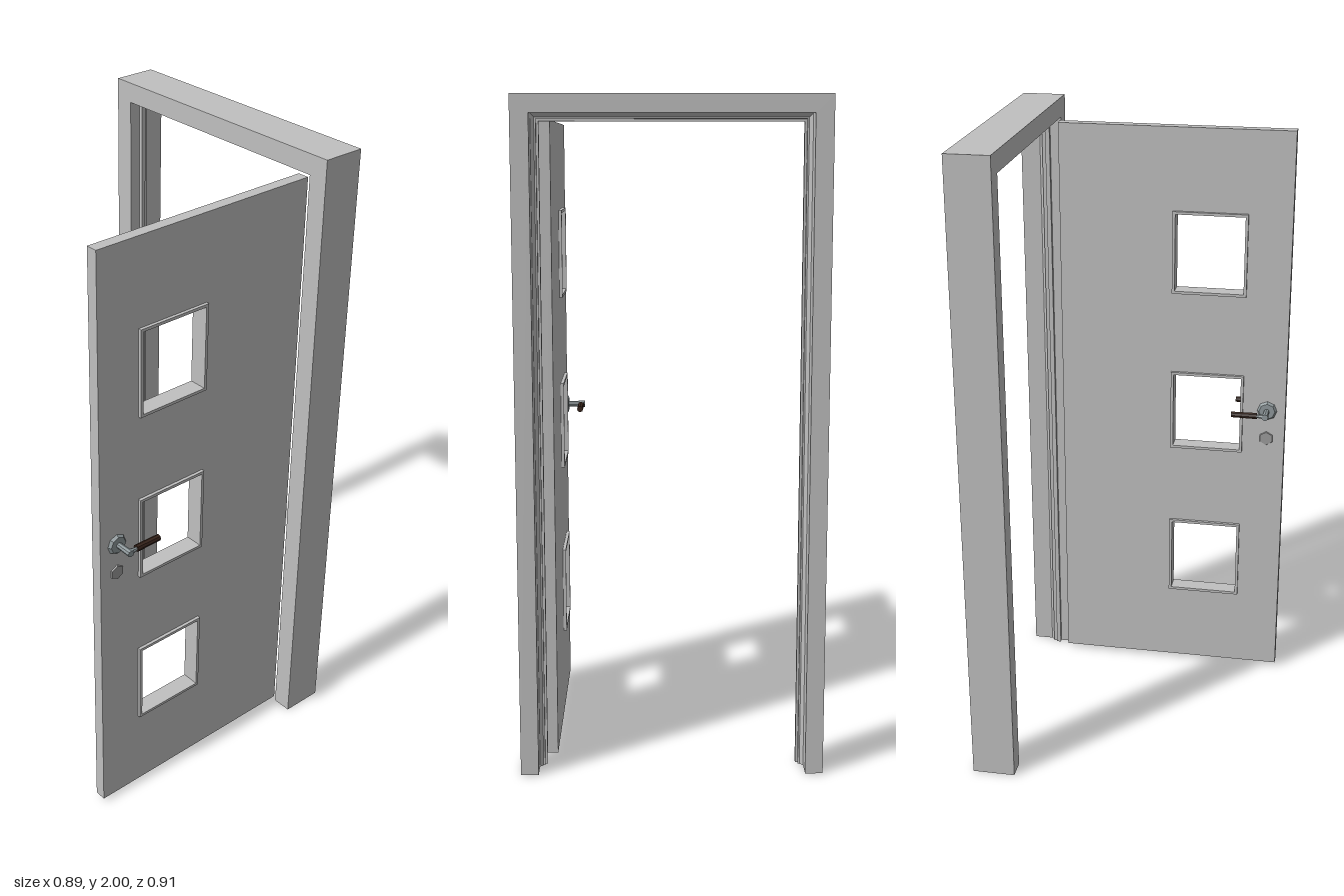
import * as THREE from 'three';

export function createModel() {
  const model = new THREE.Group();
  const mat = (name, color) => Object.assign(new THREE.MeshStandardMaterial({ color, flatShading: true }), { name });
  const paint = mat('paintedGrey', 0xc0c0c0);
  const metal = mat('handleMetal', 0x8f999c);
  const plate = mat('keyPlateGrey', 0x9c9c9c);
  const wood = mat('darkWood', 0x36231a);

  const add = (parent, name, geometry, material, x = 0, y = 0, z = 0) => {
    const mesh = new THREE.Mesh(geometry, material);
    mesh.name = name;
    mesh.position.set(x, y, z);
    parent.add(mesh);
    return mesh;
  };
  const rect = (Type, x0, y0, x1, y1) => {
    const p = new Type();
    p.moveTo(x0, y0);
    p.lineTo(x1, y0);
    p.lineTo(x1, y1);
    p.lineTo(x0, y1);
    p.closePath();
    return p;
  };
  const extrude = (shape, depth) => new THREE.ExtrudeGeometry(shape, { depth, bevelEnabled: false });

  // Door frame: a rebated profile (x, inset) swept up, across and down with mitred corners
  const profile = [
    [0.31, 0], [0.445, 0], [0.445, 0.053], [0.383, 0.053], [0.372, 0.063],
    [0.372, 0.068], [0.36, 0.068], [0.36, 0.075], [0.346, 0.075], [0.346, 0.062], [0.31, 0.062],
  ];
  const half = 0.453, top = 2;
  const stations = [[1, false], [1, true], [-1, true], [-1, false]].map(([side, upper]) =>
    profile.map(([x, d]) => [x, upper ? top - d : 0, side * (half - d)]));
  const pos = [];
  const tri = (...corners) => corners.forEach((c) => pos.push(...c));
  for (let s = 0; s < 3; s++) {
    profile.forEach((_, i) => {
      const j = (i + 1) % profile.length;
      const [a, b, c, d] = [stations[s][i], stations[s][j], stations[s + 1][j], stations[s + 1][i]];
      tri(a, b, c);
      tri(a, c, d);
    });
  }
  // Feet of the two jambs
  const outline = profile.map(([x, d]) => new THREE.Vector2(x, d));
  for (const [a, b, c] of THREE.ShapeUtils.triangulateShape(outline, [])) {
    tri(stations[0][a], stations[0][c], stations[0][b]);
    tri(stations[3][a], stations[3][b], stations[3][c]);
  }
  const frameGeo = new THREE.BufferGeometry();
  frameGeo.setAttribute('position', new THREE.Float32BufferAttribute(pos, 3));
  frameGeo.computeVertexNormals();
  add(model, 'doorFrame', frameGeo, paint);

  // Open door leaf with three square openings
  const door = new THREE.Group();
  door.name = 'door';
  model.add(door);
  const leaf = rect(THREE.Shape, -0.45, 0.015, 0.31, 1.93);
  const x0 = -0.308, x1 = -0.063, lip = 0.009, back = 0.349, front = 0.385;
  const middle = (back + front) / 2;
  for (const y0 of [0.285, 0.835, 1.385]) {
    const y1 = y0 + 0.275;
    leaf.holes.push(rect(THREE.Path, x0 + 0.004, y0 + 0.004, x1 - 0.004, y1 - 0.004));
    // Raised trim lining each opening
    const trim = rect(THREE.Shape, x0, y0, x1, y1);
    trim.holes.push(rect(THREE.Path, x0 + lip, y0 + lip, x1 - lip, y1 - lip));
    add(door, 'windowTrim', extrude(trim, 0.056), paint, 0, 0, middle - 0.028);
  }
  add(door, 'doorLeaf', extrude(leaf, front - back), paint, 0, 0, back);

  // Lever handle and key plate on both faces
  for (const side of [1, -1]) {
    const handle = new THREE.Group();
    handle.name = side > 0 ? 'frontHandle' : 'backHandle';
    handle.position.set(-0.389, 0.99, middle);
    if (side < 0) handle.rotation.x = Math.PI;
    door.add(handle);
    add(handle, 'rosette', new THREE.CylinderGeometry(0.027, 0.034, 0.01, 8), metal, 0, 0, 0.022).rotation.x = Math.PI / 2;
    add(handle, 'stem', new THREE.CylinderGeometry(0.011, 0.009, 0.064, 8), metal, 0.001, 0, 0.05).rotation.x = Math.PI / 2;
    const neck = add(handle, 'neck', new THREE.CylinderGeometry(0.005, 0.01, 0.034, 8), metal, 0.017, 0, 0.072);
    neck.rotation.z = -Math.PI / 2;
    const grip = add(handle, 'grip', new THREE.CylinderGeometry(0.01, 0.011, 0.086, 8), wood, 0.072, 0, 0.07);
    grip.rotation.z = -Math.PI / 2;

    const keyPlate = add(door, 'keyPlate', new THREE.CylinderGeometry(0.023, 0.025, 0.004, 6), plate,
      -0.389, 0.89, middle + side * 0.02);
    keyPlate.rotation.x = side * Math.PI / 2;
  }
  return model;
}
